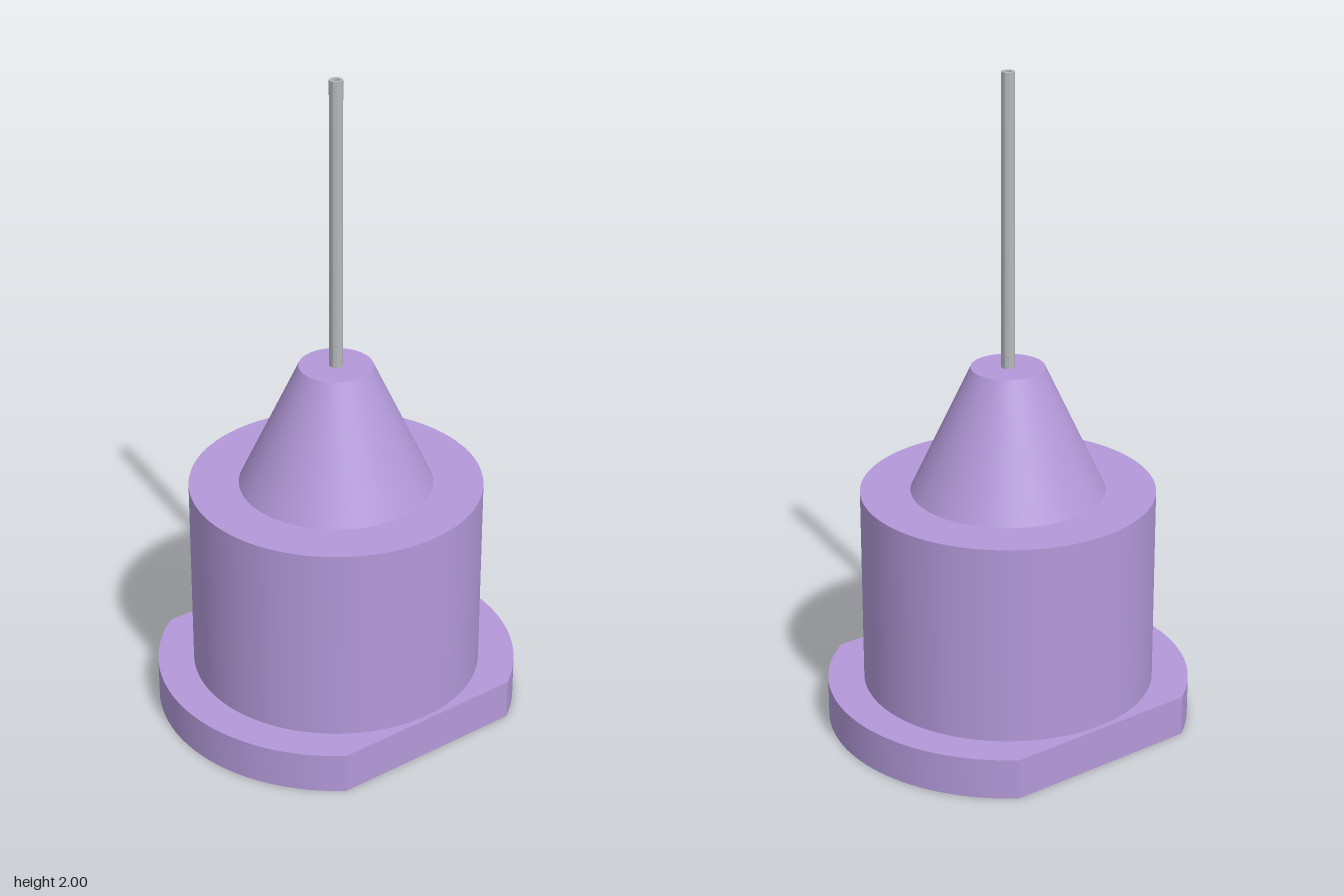
import * as THREE from 'three';
import { toCreasedNormals } from 'three/addons/utils/BufferGeometryUtils.js';

export function createModel() {
  const plastic = new THREE.MeshStandardMaterial({ color: 0xb399d9 });
  plastic.name = 'lilac plastic';
  const steel = new THREE.MeshStandardMaterial({ color: 0xb5b8bc });
  steel.name = 'needle steel';

  const group = new THREE.Group();
  group.name = 'dispensingNeedle';
  const add = (name, geometry, material) => {
    const mesh = new THREE.Mesh(geometry, material);
    mesh.name = name;
    group.add(mesh);
  };
  // Round solid between two heights
  const round = (rBottom, rTop, y0, y1) =>
    new THREE.CylinderGeometry(rTop, rBottom, y1 - y0, 96).translate(0, (y0 + y1) / 2, 0);

  const flangeTop = 0.125, bodyTop = 0.735, coneTop = 1.12;

  // Flange: a disc with two flats facing left and right
  const radius = 0.55, flat = 0.455;
  const a = Math.acos(flat / radius);
  const outline = new THREE.Shape();
  outline.absarc(0, 0, radius, a, Math.PI - a, false);
  outline.absarc(0, 0, radius, Math.PI + a, 2 * Math.PI - a, false);
  outline.closePath();
  const flange = new THREE.ExtrudeGeometry(outline, {
    depth: flangeTop, bevelEnabled: false, curveSegments: 32,
  }).rotateX(-Math.PI / 2);
  add('flange', toCreasedNormals(flange, 0.4), plastic);

  // Hub
  add('hubBody', round(0.44, 0.44, flangeTop, bodyTop), plastic);
  add('hubCone', round(0.29, 0.11, bodyTop, coneTop), plastic);

  // Hollow needle: outer wall, rim, bore and bore floor
  const profile = [
    [0.02, coneTop], [0.02, 2], [0.011, 2], [0.011, coneTop + 0.005], [0, coneTop + 0.005],
  ].map(([r, y]) => new THREE.Vector2(r, y));
  add('needleTube', toCreasedNormals(new THREE.LatheGeometry(profile, 32), 0.6), steel);

  return group;
}
